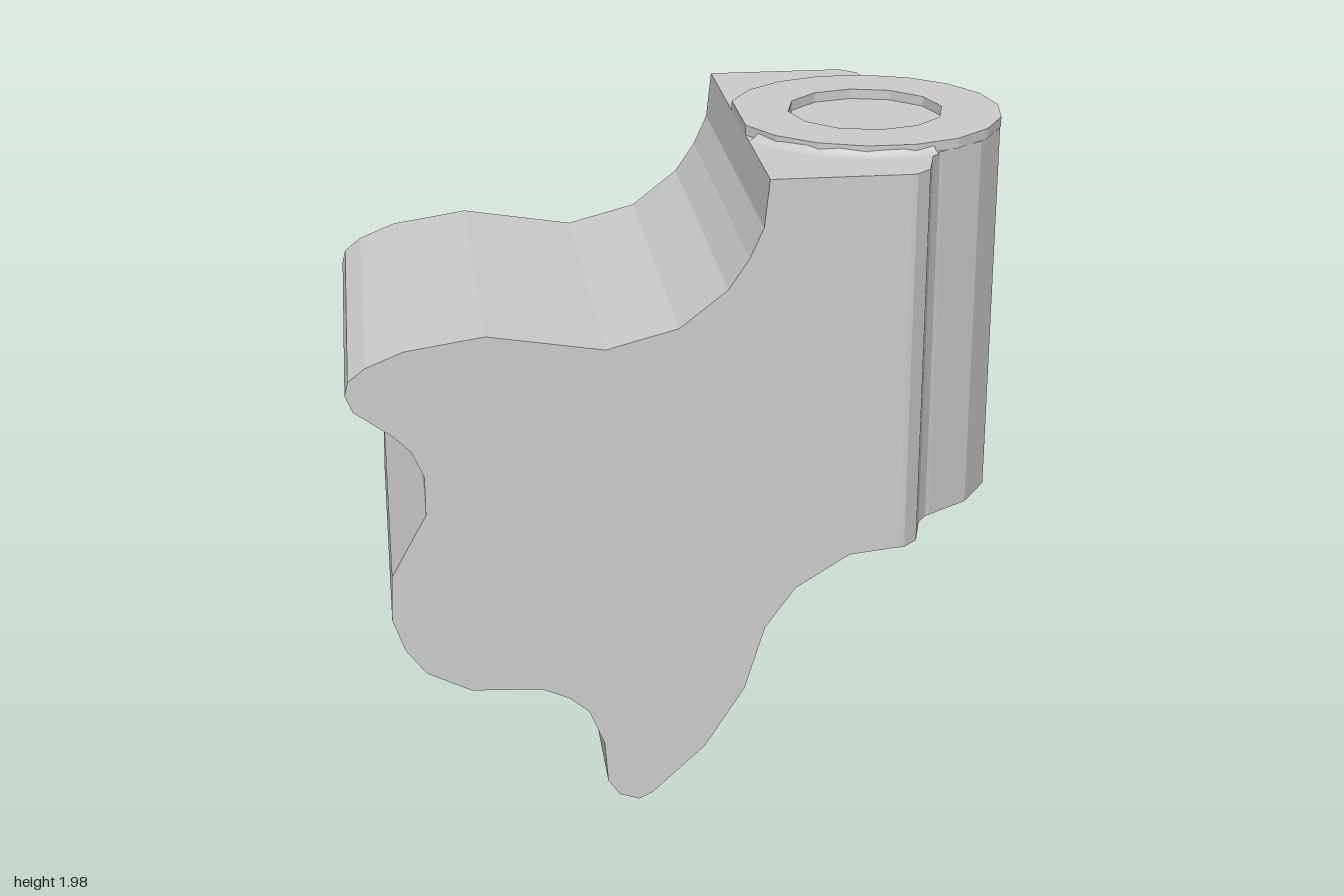
import * as THREE from 'three';

const CX = 0.59, R = 0.41, TOP = 1.95, BASE = 0.8;
const material = new THREE.MeshStandardMaterial({ color: 0xcccccc, flatShading: true, side: THREE.DoubleSide });

const shapeOf = (points) => new THREE.Shape(points.map(([x, y]) => new THREE.Vector2(x, y)));

function addMesh(group, name, geometry) {
  const mesh = new THREE.Mesh(geometry, material);
  mesh.name = name;
  group.add(mesh);
  return mesh;
}

// Extrudes a plan outline (x, z) upward from y0 to y1
function extrudeUp(shape, y0, y1) {
  const geometry = new THREE.ExtrudeGeometry(shape, { depth: y1 - y0, bevelEnabled: false });
  return geometry.rotateX(-Math.PI / 2).translate(0, y0, 0);
}

// Points of an arc around the post axis
function arc(radius, from, to, steps) {
  return Array.from({ length: steps + 1 }, (_, i) => {
    const a = from + (to - from) * i / steps;
    return [CX + radius * Math.cos(a), radius * Math.sin(a)];
  });
}

export function createModel() {
  const group = new THREE.Group();

  // Wavy side profile, extruded across the full width
  const profile = [
    [0.61, BASE], [0.61, TOP], [0.205, TOP], [0.19, 1.81], [0.15, 1.72], [0.09, 1.63],
    [-0.05, 1.52], [-0.26, 1.465], [-0.6, 1.52], [-0.83, 1.485], [-0.94, 1.44],
    [-0.99, 1.4], [-1, 1.36], [-0.98, 1.31], [-0.87, 1.23], [-0.82, 1.18],
    [-0.785, 1.1], [-0.785, 0.98], [-0.89, 0.79], [-0.895, 0.65], [-0.86, 0.55],
    [-0.8, 0.47], [-0.67, 0.405], [-0.46, 0.395], [-0.38, 0.36], [-0.32, 0.31],
    [-0.275, 0.2], [-0.265, 0.07], [-0.23, 0.02], [-0.17, 0], [-0.13, 0.02],
    [0.03, 0.17], [0.15, 0.36], [0.21, 0.56], [0.3, 0.685], [0.46, 0.785], [0.6, BASE],
  ];
  const body = new THREE.ExtrudeGeometry(shapeOf(profile), { depth: 1.2, bevelEnabled: false });
  addMesh(group, 'body', body.translate(0, 0, -0.6));

  // Rounded post blending into the body through chamfered shoulders
  const shoulder = [[0.61, 0.6], [0.625, 0.597], [0.67, 0.555], [0.705, 0.43], [0.735, 0.385]];
  const plan = [
    ...shoulder.map(([x, z]) => [x, -z]),
    ...arc(R, -Math.PI * 0.375, Math.PI * 0.375, 6),
    ...shoulder.slice().reverse(),
  ];
  addMesh(group, 'post', extrudeUp(shapeOf(plan), BASE, TOP));

  // Raised ring on top, cut flush with the body wall, with a shallow round recess
  const cut = Math.PI - Math.acos((CX - 0.205) / R);
  const ring = shapeOf(arc(R, -cut, cut, 16));
  ring.holes.push(new THREE.Path(arc(0.235, 0, Math.PI * 2, 12).slice(0, -1).map(([x, y]) => new THREE.Vector2(x, y))));
  addMesh(group, 'topRing', extrudeUp(ring, TOP, 1.98));

  // Small fillet where the ring meets each shoulder
  const fillet = [[0.435, TOP], [0.42, 1.955], [0.4, 1.972]].map(([x, y]) => new THREE.Vector2(x, y));
  for (const side of [1, -1]) {
    const mesh = addMesh(group, side > 0 ? 'filletLeft' : 'filletRight',
      new THREE.LatheGeometry(fillet, 6, side > 0 ? 0.3 - Math.PI / 2 + 0.2 : Math.PI / 2 + 0.3, 1.4));
    // Sweep runs from the body wall to the shoulder edge
    mesh.geometry.dispose();
    const start = side > 0 ? -1.08 : Math.PI - 0.32;
    mesh.geometry = new THREE.LatheGeometry(fillet, 6, start, 1.4);
    mesh.position.x = CX;
  }
  return group;
}
